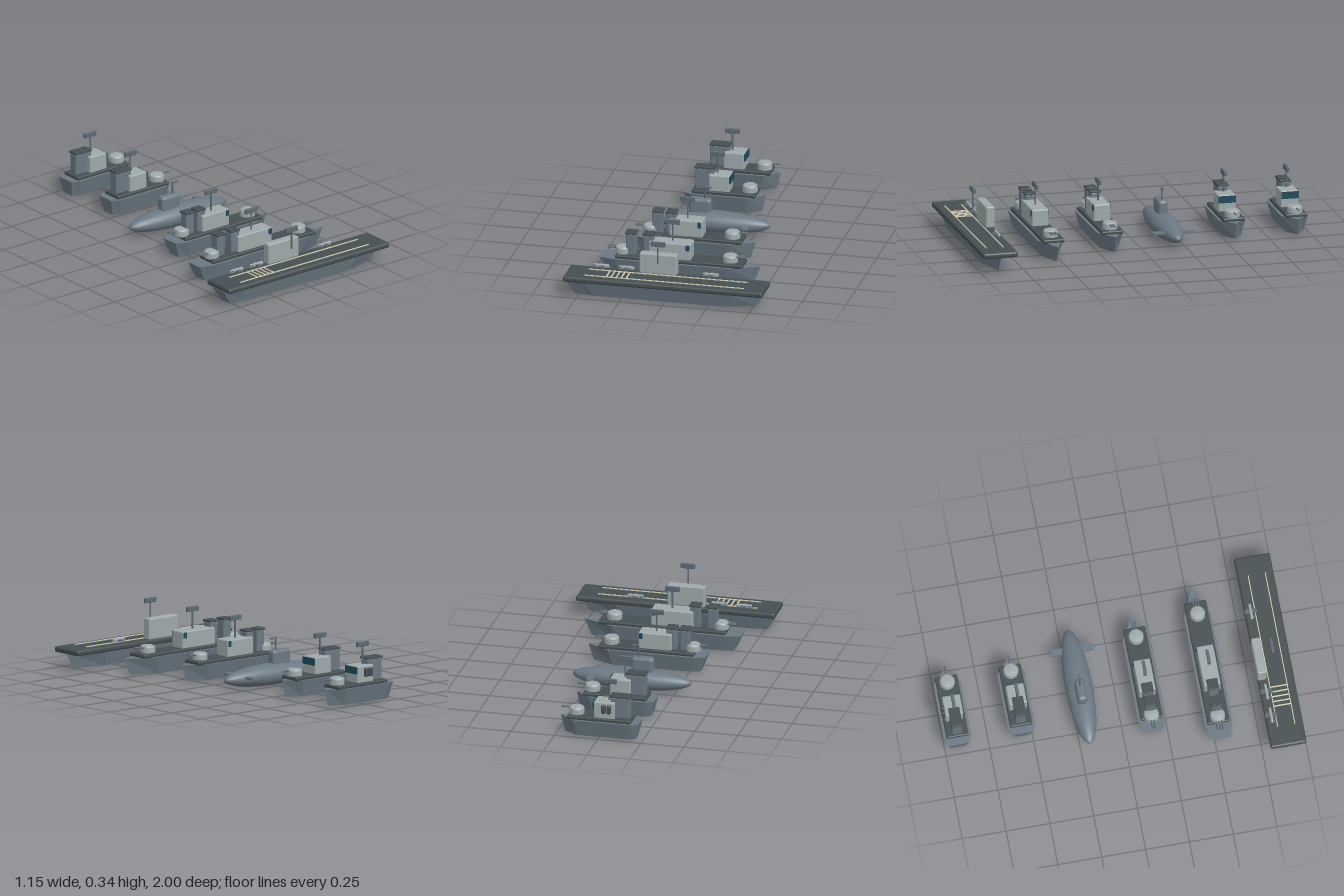
import * as THREE from 'three';
import { RoundedBoxGeometry } from 'three/addons/geometries/RoundedBoxGeometry.js';

const mat = (name, color) => {
  const m = new THREE.MeshStandardMaterial({ color });
  m.name = name;
  return m;
};

export function createModel() {
  const hullGrey = mat('hull grey', 0x6a7882);
  const deckGrey = mat('deck dark grey', 0x454e50);
  const lightGrey = mat('light grey', 0x9ea9aa);
  const gunGrey = mat('gun grey', 0x5d6973);
  const glass = mat('window teal', 0x1f4a59);
  const marking = mat('marking cream', 0xd6d0b4);

  const add = (parent, name, geo, material, x = 0, y = 0, z = 0) => {
    const mesh = new THREE.Mesh(geo, material);
    mesh.name = name;
    mesh.position.set(x, y, z);
    parent.add(mesh);
    return mesh;
  };
  const box = (w, h, d) => new THREE.BoxGeometry(w, h, d);
  const round = (w, h, d, r) => new RoundedBoxGeometry(w, h, d, 3, r);
  const post = (r, h) => new THREE.CylinderGeometry(r, r, h, 12);

  // Angular hull: bow points to +x, keel narrower and shorter than the deck line
  const hullGeometry = (len, height) => {
    const half = 0.077;
    const outline = [[-0.5, -0.72], [-0.4, -1], [0.31, -1], [0.5, 0], [0.31, 1], [-0.4, 1], [-0.5, 0.72]];
    const shape = new THREE.Shape(outline.map(([x, z]) => new THREE.Vector2(x * len, z * half)));
    const geo = new THREE.ExtrudeGeometry(shape, { depth: height, bevelEnabled: false });
    geo.rotateX(-Math.PI / 2);
    const p = geo.attributes.position;
    for (let i = 0; i < p.count; i++) {
      if (p.getY(i) < height / 2) p.setXYZ(i, p.getX(i) * 0.905, 0, p.getZ(i) * 0.7);
    }
    geo.computeVertexNormals();
    return geo;
  };

  const addMast = (ship) => {
    add(ship, 'mast', post(0.005, 0.11), gunGrey, -0.05, 0.265, 0);
    add(ship, 'radar', round(0.083, 0.028, 0.017, 0.003), gunGrey, -0.05, 0.326, 0);
  };

  // Gun turret; dir is +1 for bow-facing and -1 for stern-facing
  const addTurret = (ship, x, dir, barrels) => {
    const turret = new THREE.Group();
    turret.name = dir > 0 ? 'bowTurret' : 'sternTurret';
    turret.position.set(x, 0.118, 0);
    ship.add(turret);
    const profile = [[0.043, 0], [0.043, 0.028], [0.04, 0.036], [0.033, 0.041], [0, 0.042]];
    add(turret, 'turretBody', new THREE.LatheGeometry(profile.map(([r, y]) => new THREE.Vector2(r, y)), 28), lightGrey);
    for (let i = 0; i < barrels; i++) {
      const barrel = add(turret, 'barrel', post(0.0045, 0.055), gunGrey,
        dir * 0.06, 0.032, (i - (barrels - 1) / 2) * 0.015);
      barrel.rotation.z = Math.PI / 2;
    }
  };

  const addFunnel = (ship, x0, x1) => {
    const w = x1 - x0, x = (x0 + x1) / 2;
    add(ship, 'funnel', round(w - 0.006, 0.125, 0.056, 0.008), hullGrey, x, 0.178, 0);
    add(ship, 'funnelCap', round(w, 0.012, 0.064, 0.003), deckGrey, x, 0.244, 0);
  };

  const newShip = (name, z) => {
    const g = new THREE.Group();
    g.name = name;
    g.position.z = z;
    return g;
  };

  const warship = (o) => {
    const ship = newShip(o.name, o.z);
    add(ship, 'hull', hullGeometry(o.len, 0.094), hullGrey, 0, 0.006, 0);
    add(ship, 'deck', round(o.len * 0.8, 0.022, 0.126, 0.008), deckGrey, -0.003, 0.108, 0);
    const [x0, x1] = o.house;
    add(ship, 'deckhouse', round(x1 - x0, 0.1, o.width, 0.008), lightGrey, (x0 + x1) / 2, 0.163, 0);
    if (o.frontGlass) {
      add(ship, 'bridgeWindow', box(0.008, 0.04, o.width - 0.004), glass, x1 + 0.002, 0.188, 0);
    } else {
      for (const s of [-1, 1]) {
        add(ship, 'sideWindow', round(0.02, 0.034, 0.008, 0.003), glass, x1 - 0.016, 0.192, s * (o.width / 2 + 0.001));
      }
    }
    for (const [a, b] of o.funnels) addFunnel(ship, a, b);
    addTurret(ship, o.bowGun, 1, o.barrels);
    if (o.sternGun) addTurret(ship, o.sternGun, -1, o.barrels);
    addMast(ship);
    return ship;
  };

  const carrier = () => {
    const ship = newShip('carrier', 0.896);
    add(ship, 'hull', hullGeometry(1.15, 0.088), hullGrey, 0, 0.006, 0);
    add(ship, 'flightDeck', round(1.15, 0.032, 0.205, 0.012), deckGrey, 0, 0.107, 0);
    add(ship, 'island', round(0.216, 0.122, 0.052, 0.009), lightGrey, -0.062, 0.183, -0.078);
    // Runway edge lines and arresting wires
    for (const z of [-0.042, 0.056]) add(ship, 'runwayLine', box(0.92, 0.005, 0.005), marking, 0, 0.1255, z);
    for (const x of [-0.335, -0.307, -0.278, -0.249, -0.22]) {
      add(ship, 'arrestingWire', box(0.007, 0.005, 0.095), marking, x, 0.125, 0.007);
    }
    // Parked aircraft
    for (const x of [-0.39, -0.247, 0.239]) {
      const plane = new THREE.Group();
      plane.name = 'aircraft';
      plane.position.set(x, 0.143, -0.067);
      ship.add(plane);
      add(plane, 'fuselage', round(0.092, 0.02, 0.015, 0.006), lightGrey);
      add(plane, 'wings', box(0.028, 0.006, 0.068), gunGrey, 0.002, 0, 0);
      add(plane, 'tailplane', box(0.014, 0.005, 0.03), gunGrey, -0.037, 0.003, 0);
    }
    addMast(ship);
    return ship;
  };

  const submarine = () => {
    const ship = newShip('submarine', -0.196);
    const body = new THREE.SphereGeometry(1, 40, 24);
    body.rotateZ(Math.PI / 2);
    body.scale(0.343, 0.062, 0.077);
    add(ship, 'submarineBody', body, hullGrey, 0, 0.062, 0);
    add(ship, 'sail', round(0.13, 0.095, 0.057, 0.02), hullGrey, -0.062, 0.15, 0);
    add(ship, 'divePlanes', box(0.038, 0.012, 0.245), hullGrey, 0.22, 0.073, 0);
    add(ship, 'periscope', post(0.005, 0.075), gunGrey, -0.036, 0.227, 0);
    add(ship, 'periscopeHead', round(0.045, 0.01, 0.01, 0.003), gunGrey, -0.02, 0.262, 0);
    return ship;
  };

  const patrol = (name, z) => warship({
    name, z, len: 0.46, house: [-0.09, 0.03], width: 0.102, frontGlass: true,
    funnels: [[-0.176, -0.06]], bowGun: 0.138, barrels: 1,
  });

  const fleet = new THREE.Group();
  fleet.name = 'fleet';
  fleet.add(carrier());
  fleet.add(warship({
    name: 'battleship', z: 0.533, len: 0.92, house: [-0.178, 0.063], width: 0.096,
    funnels: [[-0.318, -0.255], [-0.217, -0.153]], bowGun: 0.283, sternGun: -0.335, barrels: 3,
  }));
  fleet.add(warship({
    name: 'cruiser', z: 0.169, len: 0.69, house: [-0.145, 0.045], width: 0.096,
    funnels: [[-0.25, -0.187], [-0.172, -0.109]], bowGun: 0.21, sternGun: -0.262, barrels: 2,
  }));
  fleet.add(submarine());
  fleet.add(patrol('patrolBoat', -0.559));
  // The last boat carries a pair of launch tubes on its far side
  const escort = patrol('escortBoat', -0.922);
  for (const x of [-0.06, -0.03]) {
    add(escort, 'launchTube', round(0.026, 0.05, 0.022, 0.008), deckGrey, x, 0.175, -0.058);
  }
  fleet.add(escort);
  return fleet;
}
